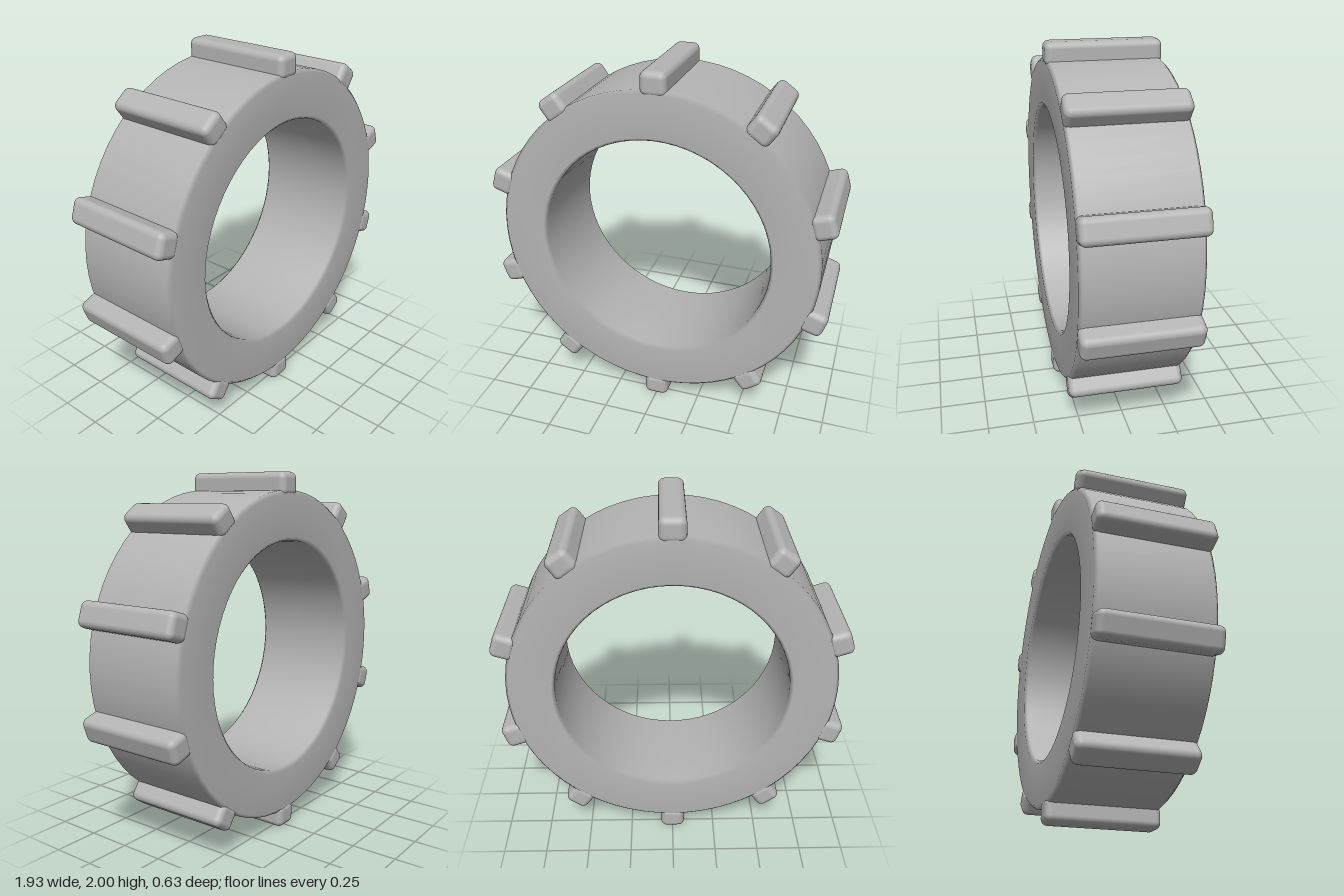
import * as THREE from 'three';
import { RoundedBoxGeometry } from 'three/addons/geometries/RoundedBoxGeometry.js';

const OUTER = 0.905, INNER = 0.64, HALF = 0.312, BEVEL = 0.018, LUGS = 10;

export function createModel() {
  const model = new THREE.Group();
  model.name = 'treadedRing';
  const grey = new THREE.MeshStandardMaterial({ color: 0xb4b4b4 });
  grey.name = 'grey';

  // Bevelled ring section, swept round; the seam lies mid-way on the inner wall
  const profile = [
    [INNER, 0], [INNER, -HALF + BEVEL],
    [INNER + BEVEL, -HALF], [OUTER - BEVEL, -HALF],
    [OUTER, -HALF + BEVEL], [OUTER, HALF - BEVEL],
    [OUTER - BEVEL, HALF], [INNER + BEVEL, HALF],
    [INNER, HALF - BEVEL], [INNER, 0],
  ].map(([r, h]) => new THREE.Vector2(r, h));
  const ring = new THREE.Mesh(new THREE.LatheGeometry(profile, 64), grey);
  ring.name = 'ring';
  ring.rotation.x = Math.PI / 2;
  ring.position.y = 1;
  model.add(ring);

  // Rounded tread bars spaced evenly around the rim
  const treads = new THREE.Group();
  treads.name = 'treadBars';
  treads.position.y = 1;
  const barGeometry = new RoundedBoxGeometry(0.14, 0.13, 0.63, 4, 0.035);
  for (let i = 0; i < LUGS; i++) {
    const a = (i / LUGS) * Math.PI * 2;
    const bar = new THREE.Mesh(barGeometry, grey);
    bar.name = `treadBar${i + 1}`;
    bar.position.set(Math.sin(a) * 0.935, Math.cos(a) * 0.935, 0);
    bar.rotation.z = -a;
    treads.add(bar);
  }
  model.add(treads);
  return model;
}
